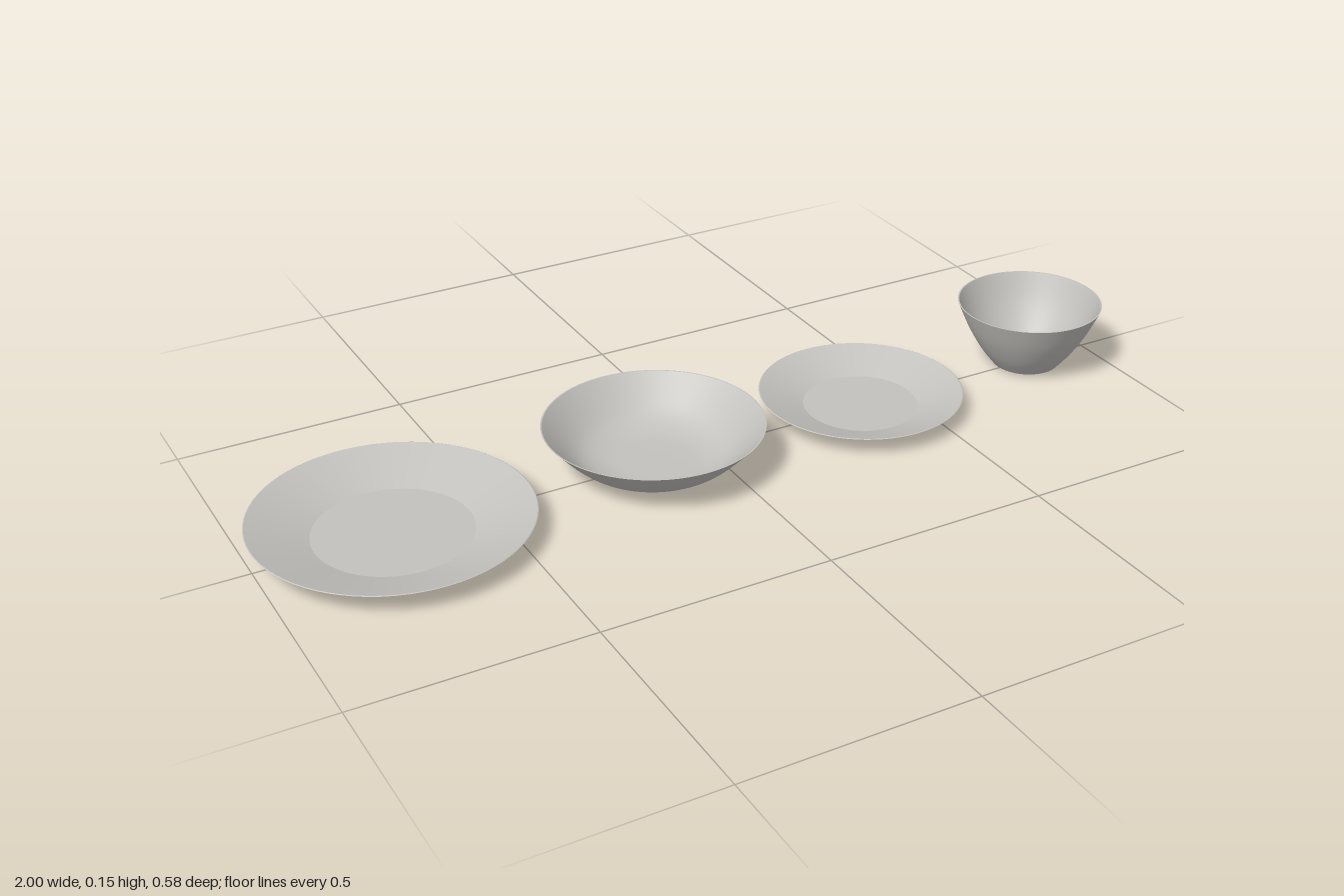
import * as THREE from 'three';
import { mergeGeometries } from 'three/addons/utils/BufferGeometryUtils.js';

const stoneware = new THREE.MeshStandardMaterial({ color: 0xc4c2be });
stoneware.name = 'warm grey stoneware';

// Each section is smooth on its own; edges between sections stay sharp.
// Sections run: underside, outer wall, rim, inside.
function turned(name, x, sections) {
  const lathes = sections.map((pts) =>
    new THREE.LatheGeometry(pts.map(([r, y]) => new THREE.Vector2(r, y)), 72));
  const mesh = new THREE.Mesh(mergeGeometries(lathes), stoneware);
  mesh.name = name;
  mesh.position.x = x;
  return mesh;
}

// Smooth curve through a few profile points
function curve(points, n = 16) {
  const spline = new THREE.SplineCurve(points.map(([r, y]) => new THREE.Vector2(r, y)));
  return spline.getPoints(n).map((p) => [p.x, p.y]);
}

// Plate: flat foot and floor with a straight sloping wall
function plate(name, x, rim, foot, floor, height) {
  const floorY = 0.008;
  return turned(name, x, [
    [[0, 0], [foot, 0]],
    [[foot, 0], [rim, height - 0.001]],
    [[rim, height - 0.001], [rim - 0.002, height]],
    [[rim - 0.002, height], [floor, floorY]],
    [[floor, floorY], [0, floorY]],
  ]);
}

// Bowl: flat foot, curved wall, rounded inside
function bowl(name, x, base, outer, inner) {
  const rim = outer[outer.length - 1];
  return turned(name, x, [
    [[0, base], outer[0]],
    curve(outer),
    [rim, inner[0]],
    curve(inner, 24),
  ]);
}

export function createModel() {
  const group = new THREE.Group();
  group.name = 'tableware';
  group.add(
    plate('dinnerPlate', -0.71, 0.29, 0.147, 0.164, 0.048),
    bowl('shallowBowl', -0.126, 0.003,
      [[0.106, 0.003], [0.15, 0.018], [0.187, 0.045], [0.236, 0.097]],
      [[0.233, 0.097], [0.182, 0.047], [0.145, 0.022], [0.1, 0.01], [0.05, 0.008], [0, 0.008]]),
    plate('sidePlate', 0.388, 0.225, 0.112, 0.126, 0.043),
    bowl('cup', 0.838, 0.004,
      [[0.076, 0.004], [0.106, 0.043], [0.136, 0.094], [0.162, 0.152]],
      [[0.159, 0.152], [0.132, 0.096], [0.1, 0.047], [0.07, 0.014], [0.035, 0.01], [0, 0.01]]),
  );
  return group;
}
